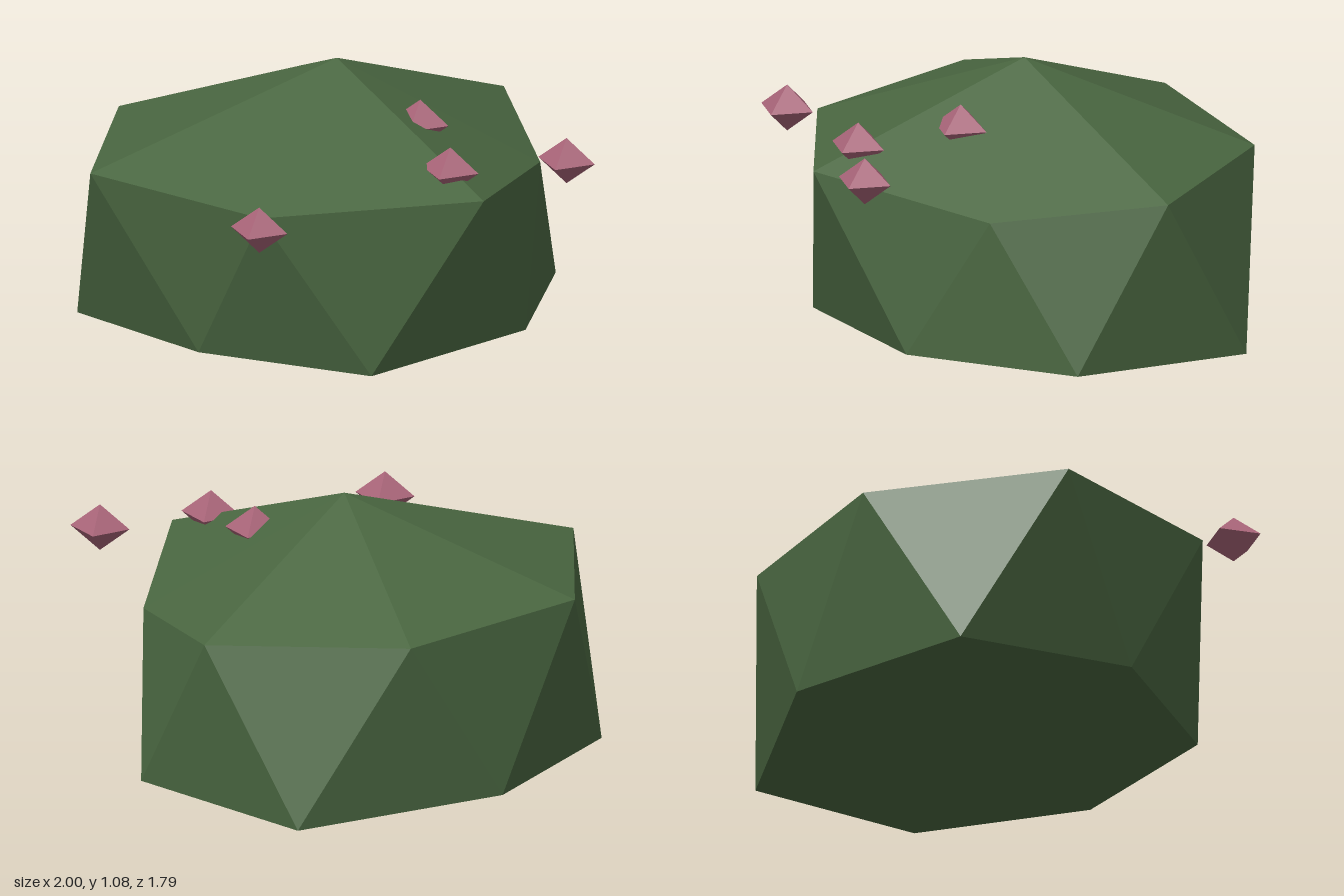
import * as THREE from 'three';

const leafGreen = new THREE.MeshStandardMaterial({ color: 0x4a6741, flatShading: true });
leafGreen.name = 'leaf green';
const budPink = new THREE.MeshStandardMaterial({ color: 0xa86478, flatShading: true });
budPink.name = 'bud pink';

// Seven-sided faceted bush: crown point, upper ring, staggered lower ring, base point
function bushGeometry() {
  const crown = [0.06, 1.08, -0.02];
  const base = [0.05, 0.04, -0.02];
  const upper = [
    [-1, 0.745, -0.02], [-0.57, 0.73, -0.735], [0.29, 0.725, -0.9], [0.94, 0.71, -0.4],
    [0.8, 0.64, 0.29], [0.3, 0.745, 0.89], [-0.565, 0.725, 0.675],
  ];
  const lower = [
    [-0.88, 0.01, -0.43], [-0.15, 0.03, -0.875], [0.73, 0.005, -0.765], [1, 0.045, -0.02],
    [0.61, 0.06, 0.585], [-0.14, 0.04, 0.79], [-0.69, 0.07, 0.34],
  ];
  const points = [];
  const face = (a, b, c) => points.push(...a, ...b, ...c);
  const n = upper.length;
  for (let i = 0; i < n; i++) {
    const j = (i + 1) % n;
    face(crown, upper[j], upper[i]);
    face(upper[i], upper[j], lower[i]);
    face(upper[j], lower[j], lower[i]);
    face(base, lower[i], lower[j]);
  }
  const geometry = new THREE.BufferGeometry();
  geometry.setAttribute('position', new THREE.Float32BufferAttribute(points, 3));
  geometry.computeVertexNormals();
  return geometry;
}

export function createModel() {
  const model = new THREE.Group();
  model.name = 'floweringBush';

  const bush = new THREE.Mesh(bushGeometry(), leafGreen);
  bush.name = 'foliage';
  model.add(bush);

  // Eight-faced buds with square waists aligned to the axes
  const budGeometry = new THREE.OctahedronGeometry(1);
  budGeometry.rotateY(Math.PI / 4);
  budGeometry.scale(0.12, 0.095, 0.12);
  const budPositions = [
    [-0.62, 0.72, 0.785], [0.24, 0.82, 0.695], [0.285, 0.88, 0.29], [0.705, 0.82, 0.775],
  ];
  budPositions.forEach((position, i) => {
    const bud = new THREE.Mesh(budGeometry, budPink);
    bud.name = `bud${i + 1}`;
    bud.position.set(...position);
    model.add(bud);
  });

  return model;
}
